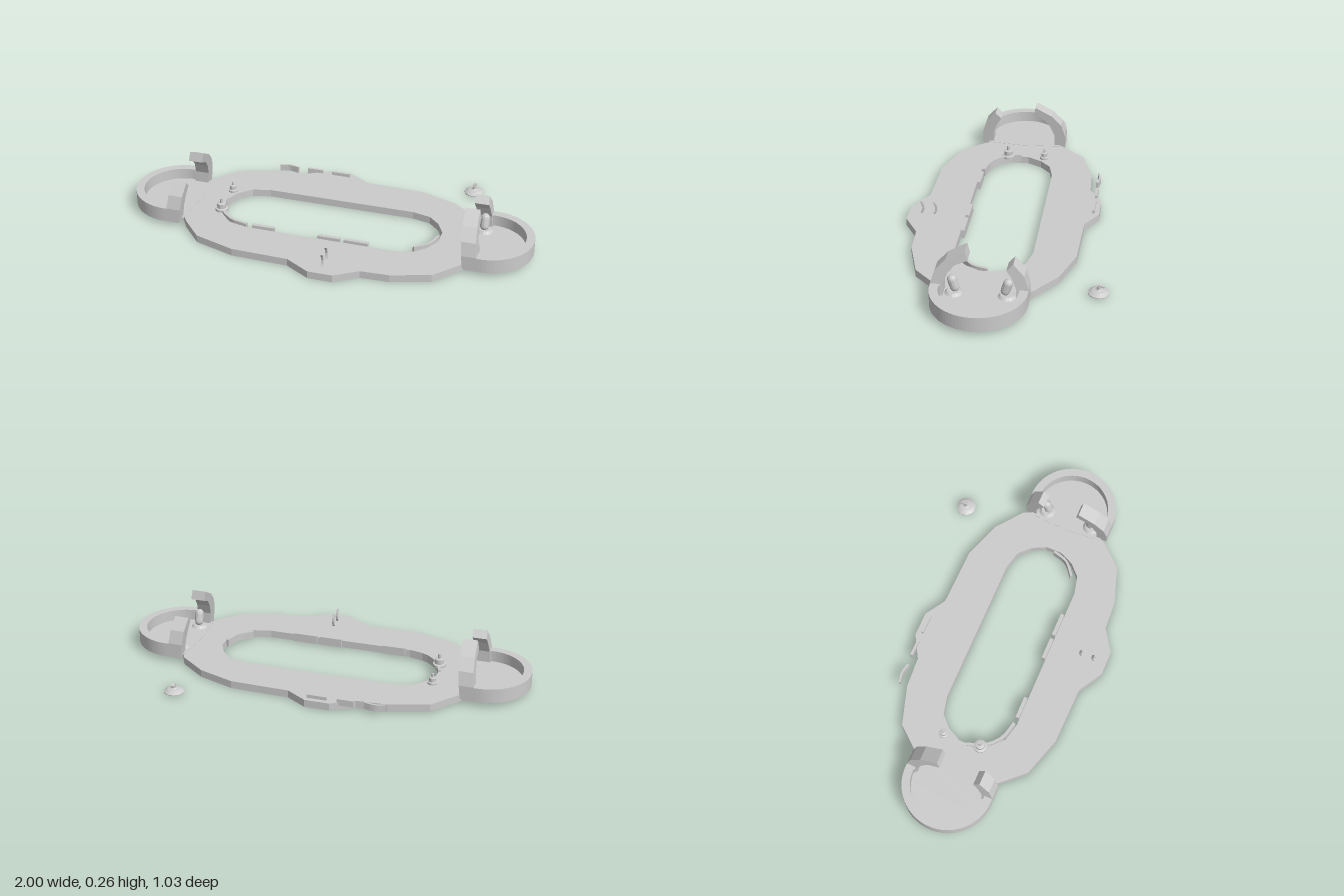
import * as THREE from 'three';

const mat = new THREE.MeshStandardMaterial({ color: 0xcccccc, flatShading: true, side: THREE.DoubleSide });

function add(parent, name, geo, x = 0, y = 0, z = 0) {
  const m = new THREE.Mesh(geo, mat);
  m.name = name;
  m.position.set(x, y, z);
  parent.add(m);
  return m;
}
const vecs = pts => pts.map(p => new THREE.Vector2(p[0], p[1]));
const shapeOf = (pts, hole) => {
  const s = new THREE.Shape(vecs(pts));
  if (hole) s.holes.push(new THREE.Path(vecs(hole)));
  return s;
};

// Plan shape given in (x, z), extruded upward from y0 to y1
function slab(shape, y0, y1) {
  const g = new THREE.ExtrudeGeometry(shape, { depth: y1 - y0, bevelEnabled: false, curveSegments: 20 });
  return g.rotateX(Math.PI / 2).translate(0, y1, 0);
}

// Thin upright strip following a path in plan
function rail(pts, t, y0, y1) {
  const c = new THREE.CatmullRomCurve3(pts.map(p => new THREE.Vector3(p[0], 0, p[1])));
  const outer = [], inner = [];
  const n = pts.length > 2 ? 8 : 1;
  for (let i = 0; i <= n; i++) {
    const p = c.getPoint(i / n), d = c.getTangent(i / n);
    outer.push([p.x - d.z * t / 2, p.z + d.x * t / 2]);
    inner.unshift([p.x + d.z * t / 2, p.z - d.x * t / 2]);
  }
  return slab(shapeOf([...outer, ...inner]), y0, y1);
}

// Side profile in (z, y), extruded along x and centred
function sideProfile(pts, width) {
  const g = new THREE.ExtrudeGeometry(shapeOf(pts), { depth: width, bevelEnabled: false });
  return g.translate(0, 0, -width / 2).rotateY(-Math.PI / 2);
}

// Curved claw leaning toward the middle; side is +1 or -1
function claw(side, long) {
  const tip = long ? [[0.15, 0.22], [0.065, 0.268], [0.053, 0.222], [0.11, 0.195]] : [[0.15, 0.22], [0.12, 0.187]];
  const pts = [[0.22, 0.03], [0.22, 0.1], [0.2, 0.165], ...tip, [0.142, 0.155], [0.165, 0.1], [0.165, 0.03]];
  const g = sideProfile(pts.map(p => [p[0] * side, p[1]]), 0.07);
  const a = g.attributes.position;
  for (let i = 0; i < a.count; i++) a.setX(i, a.getX(i) + 0.738 - 0.115 * (a.getY(i) - 0.03));
  g.computeVertexNormals();
  return g;
}

// Rounded tray with a rim and two claws
function endTray(name) {
  const g = new THREE.Group();
  g.name = name;
  const rim = new THREE.Shape();
  rim.moveTo(0.71, -0.22).lineTo(0.78, -0.22);
  rim.absarc(0.78, 0, 0.22, -Math.PI / 2, Math.PI / 2, false);
  rim.lineTo(0.71, 0.22).lineTo(0.71, 0.175).lineTo(0.78, 0.175);
  rim.absarc(0.78, 0, 0.18, Math.PI / 2, -Math.PI / 2, true);
  rim.lineTo(0.71, -0.175);
  add(g, 'trayRim', slab(rim, 0.027, 0.098));
  const floor = new THREE.Shape();
  floor.moveTo(0.69, -0.19).lineTo(0.78, -0.19);
  floor.absarc(0.78, 0, 0.19, -Math.PI / 2, Math.PI / 2, false);
  floor.lineTo(0.69, 0.19).lineTo(0.675, 0);
  add(g, 'trayFloor', slab(floor, 0.034, 0.0425));
  add(g, 'longClaw', claw(1, true));
  add(g, 'shortClaw', claw(-1, false));
  g.position.z = 0.05;
  return g;
}

// Stepped pin standing on the deck
function pin(parent, x, z, r, top) {
  const h = top - 0.04;
  const prof = [[0, 0], [r, 0], [r, h * 0.2], [r * 0.7, h * 0.25], [r * 0.7, h * 0.6], [r * 0.25, h * 0.65], [r * 0.25, h], [0, h]];
  add(parent, 'deckPin', new THREE.LatheGeometry(vecs(prof), 14), x, 0.04, z);
}

export function createModel() {
  const root = new THREE.Group();
  root.name = 'trayRing';

  // Ring-shaped deck with a long opening, hollow underneath
  const outline = [
    [-0.745, -0.05], [-0.69, -0.16], [-0.59, -0.28], [-0.4, -0.34], [-0.25, -0.35], [-0.14, -0.413], [-0.02, -0.413],
    [0.08, -0.35], [0.37, -0.343], [0.55, -0.28], [0.68, -0.18], [0.745, -0.05], [0.745, 0.14], [0.69, 0.26],
    [0.585, 0.375], [0.4, 0.433], [0.26, 0.44], [0.15, 0.511], [0.03, 0.511], [-0.09, 0.44], [-0.37, 0.433],
    [-0.57, 0.37], [-0.67, 0.26], [-0.745, 0.14]];
  const quarter = [[0.37, 0.184], [0.46, 0.163], [0.515, 0.11], [0.55, 0.04]];
  const hole = [
    ...quarter, ...quarter.map(p => [p[0], -p[1]]).reverse(),
    ...quarter.map(p => [-p[0], -p[1]]), ...quarter.map(p => [-p[0], p[1]]).reverse()
  ].map(p => [p[0], p[1] + 0.045]);
  const scaled = (pts, kx, kz) => pts.map(p => [p[0] * kx, (p[1] - 0.045) * kz + 0.045]);
  add(root, 'deckTop', slab(shapeOf(outline, hole), 0.033, 0.041));
  add(root, 'outerSkirt', slab(shapeOf(outline, scaled(outline, 0.99, 0.983)), 0.004, 0.033));
  add(root, 'innerSkirt', slab(shapeOf(scaled(hole, 1.012, 1.035), hole), 0.004, 0.033));

  // End trays, the right one turned half round about the deck centre
  root.add(endTray('leftTray'));
  const right = endTray('rightTray');
  right.rotation.y = Math.PI;
  root.add(right);

  // Straight and curved rails beside the opening and the back edge
  for (const [x0, x1] of [[-0.34, -0.23], [-0.01, 0.1], [0.12, 0.24]])
    add(root, 'innerRail', rail([[x0, 0.218], [x1, 0.218]], 0.018, 0.012, 0.055));
  add(root, 'curvedRail', rail([[-0.555, 0.045], [-0.53, 0.12], [-0.46, 0.19], [-0.37, 0.215]], 0.014, 0.012, 0.053));
  add(root, 'curvedRail', rail([[0.54, 0.05], [0.515, 0.125], [0.45, 0.18]], 0.012, 0.012, 0.05));
  add(root, 'backRail', rail([[-0.4, -0.378], [-0.35, -0.388], [-0.3, -0.378]], 0.01, 0.025, 0.058));
  for (const [x0, x1] of [[-0.25, -0.17], [-0.12, -0.025]])
    add(root, 'backRail', rail([[x0, -0.384], [x1, -0.384]], 0.012, 0.025, 0.058));

  // Pair of thin bowed prongs at the front
  for (const z of [0.382, 0.446]) {
    const bow = [0, 0.25, 0.5, 0.75, 1].map(t => [-0.012 * Math.sin(Math.PI * t), 0.035 + 0.07 * t]);
    const back = bow.map(p => [p[0] + 0.01, p[1]]).reverse();
    add(root, 'prong', sideProfile([...bow, ...back], 0.01), 0.082, 0, z);
  }

  // Deck pins
  pin(root, -0.55, -0.078, 0.023, 0.095);
  pin(root, -0.54, 0.11, 0.032, 0.105);

  // Tilted round-topped posts on round feet in the left tray
  for (const [z, s] of [[-0.07, -1], [0.17, 1]]) {
    add(root, 'postFoot', new THREE.CylinderGeometry(0.03, 0.042, 0.012, 16), 0.74, 0.048, z);
    add(root, 'tiltedPost', new THREE.CapsuleGeometry(0.022, 0.04, 4, 12), 0.74, 0.093, z).rotation.x = s * 0.3;
  }

  // Open rings under the deck
  for (const [x, z] of [[0.08, 0.44], [-0.62, 0]])
    add(root, 'undersideRing', new THREE.CylinderGeometry(0.036, 0.036, 0.027, 20, 1, true), x, 0.02, z);

  // Loose knob behind the deck
  const knob = [[0, 0], [0.049, 0], [0.049, 0.004], [0.032, 0.014], [0.014, 0.018], [0.009, 0.022], [0.009, 0.036], [0, 0.036]];
  add(root, 'looseKnob', new THREE.LatheGeometry(vecs(knob), 18), 0.61, 0.012, -0.467);
  add(root, 'knobHandle', new THREE.BoxGeometry(0.016, 0.009, 0.028), 0.61, 0.05, -0.478).rotation.x = -0.2;

  return root;
}
